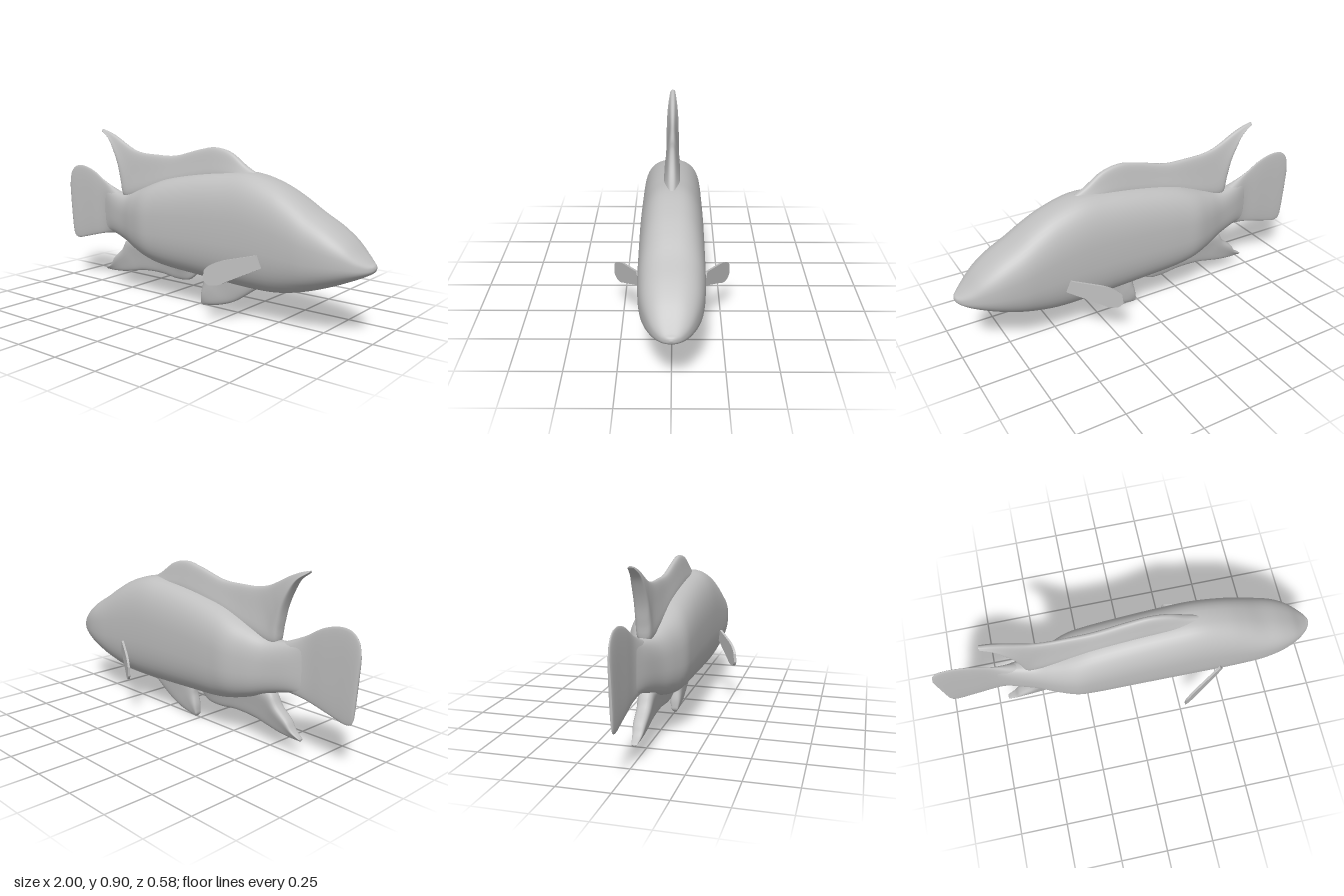
import * as THREE from 'three';

const skin = new THREE.MeshStandardMaterial({ color: 0xc0c0c0 });
skin.name = 'pale grey skin';

// Smooth loft along +x. Each row: [lowX, lowY, highX, highY, halfThickness].
// power squares the section; flare thickens the low (+) or high (-) edge.
function loft(name, rows, { power = 2.6, flare = 0, steps = 5, sides = 32 } = {}) {
  const low = new THREE.CatmullRomCurve3(rows.map(r => new THREE.Vector3(r[0], r[1], r[4])));
  const high = new THREE.CatmullRomCurve3(rows.map(r => new THREE.Vector3(r[2], r[3], 0)));
  const rings = (rows.length - 1) * steps;
  const pos = [], index = [];
  const soft = v => Math.sign(v) * Math.abs(v) ** (2 / power);
  for (let i = 0; i <= rings; i++) {
    const a = low.getPoint(i / rings), b = high.getPoint(i / rings);
    for (let j = 0; j < sides; j++) {
      const t = (j / sides) * Math.PI * 2;
      const v = (1 - soft(Math.cos(t))) / 2;
      const root = flare >= 0 ? 1 - v : v;
      const w = Math.max(a.z, 0.001) * (1 + Math.abs(flare) * root ** 2);
      pos.push(a.x + (b.x - a.x) * v, a.y + (b.y - a.y) * v, w * soft(Math.sin(t)));
    }
  }
  for (let i = 0; i < rings; i++) {
    for (let j = 0; j < sides; j++) {
      const k = (j + 1) % sides, p = i * sides, q = p + sides;
      index.push(p + j, q + j, p + k, p + k, q + j, q + k);
    }
  }
  // End caps
  for (const [ring, start] of [[0, true], [rings, false]]) {
    const a = low.getPoint(ring / rings), b = high.getPoint(ring / rings);
    const c = pos.length / 3, p = ring * sides;
    pos.push((a.x + b.x) / 2, (a.y + b.y) / 2, 0);
    for (let j = 0; j < sides; j++) {
      const k = (j + 1) % sides;
      index.push(c, p + (start ? j : k), p + (start ? k : j));
    }
  }
  const g = new THREE.BufferGeometry();
  g.setAttribute('position', new THREE.Float32BufferAttribute(pos, 3));
  g.setIndex(index);
  g.computeVertexNormals();
  const mesh = new THREE.Mesh(g, skin);
  mesh.name = name;
  return mesh;
}

// Thin plate swept backwards and outwards from the flank
function pectoralFin(side) {
  const s = new THREE.Shape();
  s.moveTo(0.487, 0.302);
  s.lineTo(0.465, 0.365);
  s.lineTo(0.33, 0.335);
  s.quadraticCurveTo(0.27, 0.315, 0.255, 0.285);
  s.lineTo(0.25, 0.24);
  s.quadraticCurveTo(0.255, 0.222, 0.275, 0.212);
  s.quadraticCurveTo(0.31, 0.205, 0.34, 0.228);
  s.closePath();
  const g = new THREE.ExtrudeGeometry(s, { depth: 0.014, bevelEnabled: false, curveSegments: 5 });
  const p = g.attributes.position;
  for (let i = 0; i < p.count; i++) {
    p.setZ(i, p.getZ(i) - 0.007 + side * (0.15 + (0.485 - p.getX(i)) * 0.575));
  }
  g.computeVertexNormals();
  const mesh = new THREE.Mesh(g, skin);
  mesh.name = side > 0 ? 'rightPectoralFin' : 'leftPectoralFin';
  return mesh;
}

export function createModel() {
  const fish = new THREE.Group();
  fish.name = 'fish';

  // Body: x, belly height, back height, half width
  const body = [
    [-0.7, 0.32, 0.57, 0.011], [-0.62, 0.31, 0.555, 0.04], [-0.5, 0.275, 0.55, 0.075],
    [-0.4, 0.235, 0.585, 0.115], [-0.3, 0.205, 0.625, 0.147], [-0.2, 0.185, 0.66, 0.152],
    [0, 0.172, 0.7, 0.153], [0.2, 0.162, 0.725, 0.154], [0.35, 0.156, 0.732, 0.154],
    [0.5, 0.16, 0.692, 0.154], [0.6, 0.177, 0.642, 0.154], [0.7, 0.205, 0.58, 0.152],
    [0.8, 0.241, 0.525, 0.139], [0.88, 0.275, 0.468, 0.113], [0.94, 0.303, 0.41, 0.08],
    [0.98, 0.325, 0.376, 0.045], [0.995, 0.338, 0.366, 0.022], [1, 0.35, 0.356, 0.005],
  ];
  fish.add(loft('body', body.map(([x, b, t, w]) => [x, b, x, t, w]), { sides: 48 }));

  // Tail fin, thickening into the tail root
  fish.add(loft('tailFin', [
    [-0.978, 0.27, -1, 0.57, 0.006], [-0.965, 0.247, -0.985, 0.635, 0.009],
    [-0.935, 0.24, -0.95, 0.67, 0.01], [-0.88, 0.252, -0.89, 0.68, 0.01],
    [-0.8, 0.273, -0.8, 0.658, 0.011], [-0.7, 0.297, -0.7, 0.602, 0.013],
    [-0.6, 0.31, -0.61, 0.562, 0.036], [-0.5, 0.32, -0.52, 0.53, 0.05],
  ]));

  // Dorsal fin with a long swept rear point
  fish.add(loft('dorsalFin', [
    [-0.704, 0.888, -0.708, 0.9, 0.008], [-0.645, 0.845, -0.655, 0.886, 0.013],
    [-0.605, 0.78, -0.595, 0.862, 0.017], [-0.572, 0.7, -0.53, 0.828, 0.019],
    [-0.552, 0.61, -0.47, 0.8, 0.02], [-0.53, 0.525, -0.4, 0.784, 0.021],
    [-0.4, 0.545, -0.3, 0.78, 0.022], [-0.2, 0.62, -0.17, 0.782, 0.022],
    [0, 0.66, 0, 0.825, 0.022], [0.1, 0.675, 0.1, 0.842, 0.022],
    [0.2, 0.685, 0.2, 0.822, 0.022], [0.3, 0.69, 0.3, 0.758, 0.02],
    [0.4, 0.68, 0.38, 0.718, 0.012],
  ], { flare: 1.6 }));

  // Anal fin, also swept to a rear point
  fish.add(loft('analFin', [
    [-0.69, 0.082, -0.69, 0.094, 0.007], [-0.63, 0.083, -0.648, 0.125, 0.012],
    [-0.56, 0.089, -0.62, 0.168, 0.016], [-0.48, 0.104, -0.555, 0.225, 0.018],
    [-0.4, 0.12, -0.51, 0.29, 0.02], [-0.27, 0.126, -0.38, 0.3, 0.02],
    [-0.15, 0.114, -0.22, 0.26, 0.02], [-0.07, 0.122, -0.1, 0.23, 0.02],
    [-0.01, 0.168, 0, 0.22, 0.012],
  ], { flare: -1.8 }));

  // Pelvic fin under the belly
  fish.add(loft('pelvicFin', [
    [0.03, 0.002, 0.018, 0.02, 0.012], [0.075, 0.008, 0.02, 0.07, 0.02],
    [0.15, 0.025, 0.033, 0.13, 0.023], [0.23, 0.057, 0.04, 0.19, 0.023],
    [0.31, 0.108, 0.18, 0.22, 0.023], [0.36, 0.142, 0.3, 0.22, 0.02],
    [0.41, 0.165, 0.4, 0.21, 0.012],
  ], { flare: -0.7 }));

  for (const side of [1, -1]) fish.add(pectoralFin(side));
  return fish;
}
